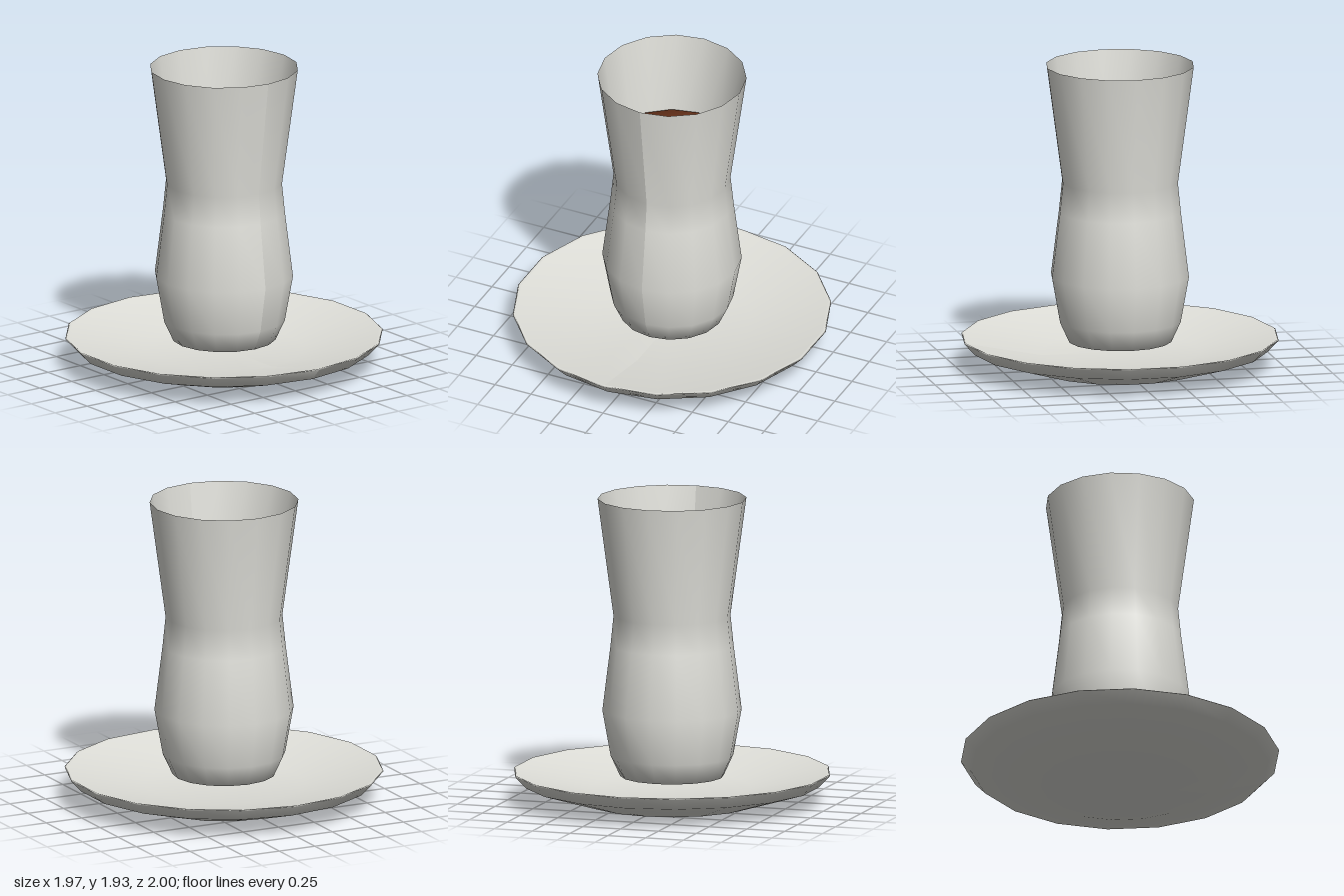
import * as THREE from 'three';

// Turned solid with soft normals across its profile
function turned(name, profile, sides, material) {
  const points = profile.map(([r, y]) => new THREE.Vector2(r, y));
  const geometry = new THREE.LatheGeometry(points, sides);
  geometry.computeVertexNormals();
  const mesh = new THREE.Mesh(geometry, material);
  mesh.name = name;
  return mesh;
}

export function createModel() {
  const glaze = new THREE.MeshStandardMaterial({ color: 0xdfdfd9, side: THREE.DoubleSide });
  glaze.name = 'pale glaze';
  const tea = new THREE.MeshStandardMaterial({ color: 0x8b4526 });
  tea.name = 'tea brown';

  const group = new THREE.Group();
  group.name = 'teaGlassOnSaucer';

  // Dished saucer with a narrow rim and a flat floor
  group.add(turned('saucer', [
    [0, 0], [0.535, 0], [0.932, 0.12], [1, 0.193], [0.992, 0.2], [0.975, 0.195], [0.5, 0.1], [0, 0.1],
  ], 18, glaze));

  // Thin waisted glass, open at the top
  group.add(turned('glass', [
    [0, 0.17], [0.325, 0.17], [0.385, 0.3], [0.437, 0.59], [0.386, 1], [0.367, 1.19], [0.467, 1.935],
  ], 16, glaze));

  // Tea filling the glass to above the waist
  group.add(turned('tea', [
    [0, 0.2], [0.29, 0.2], [0.35, 0.32], [0.41, 0.6], [0.345, 1.19], [0.385, 1.43], [0, 1.43],
  ], 14, tea));

  return group;
}
